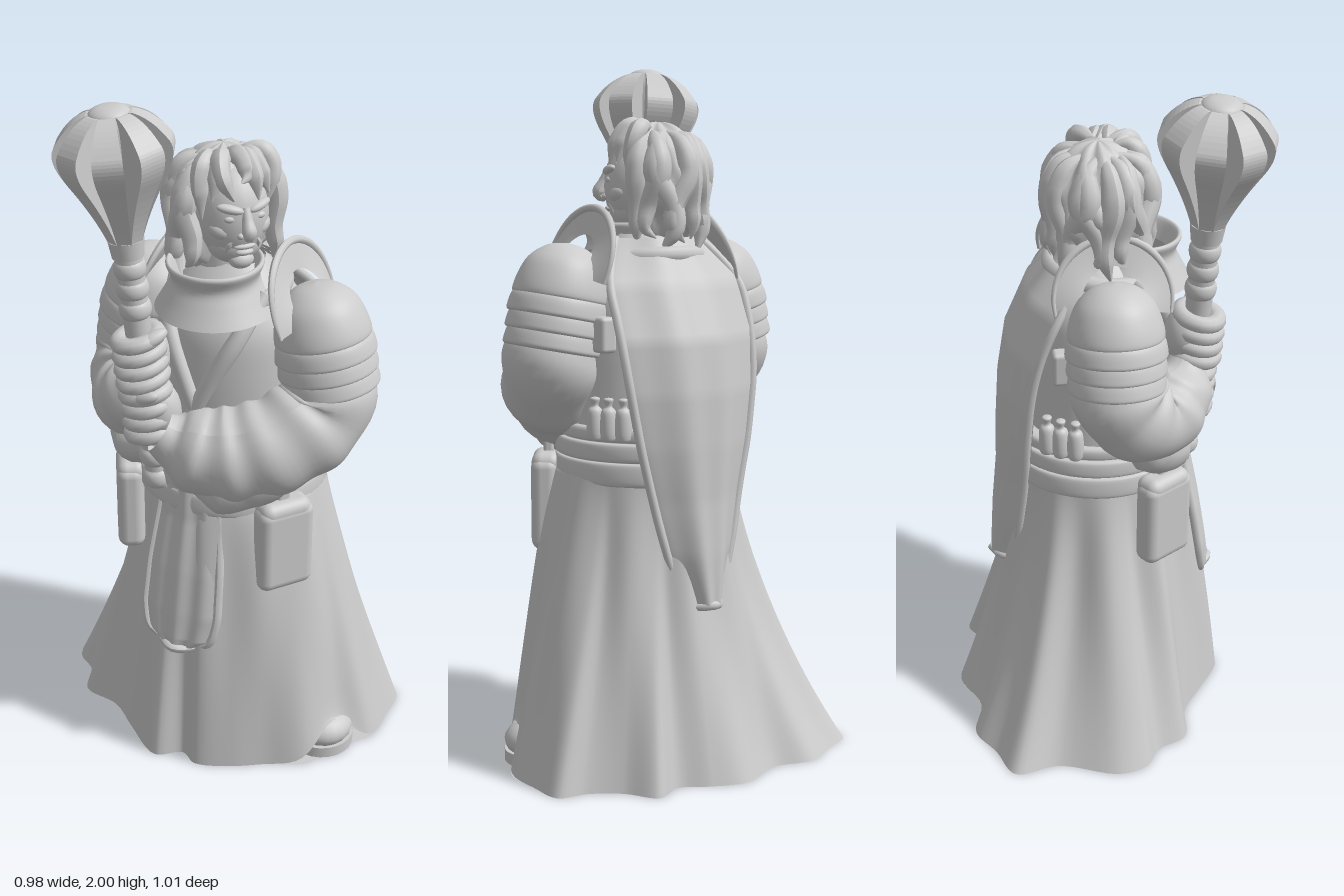
import * as THREE from 'three';
import { ParametricGeometry } from 'three/addons/geometries/ParametricGeometry.js';
import { RoundedBoxGeometry } from 'three/addons/geometries/RoundedBoxGeometry.js';

const grey = new THREE.MeshStandardMaterial({ color: 0xcccccc, side: THREE.DoubleSide });
const V = (x, y, z) => new THREE.Vector3(x, y, z);
const lerp = THREE.MathUtils.lerp;

function add(parent, name, geo, pos = [0, 0, 0], rot = [0, 0, 0], scale = [1, 1, 1]) {
  const mesh = new THREE.Mesh(geo, grey);
  mesh.name = name;
  mesh.position.set(...pos);
  mesh.rotation.set(...rot);
  mesh.scale.set(...scale);
  parent.add(mesh);
}

// Value of an evenly spaced list at u in 0..1
function sample(list, u) {
  const f = u * (list.length - 1), i = Math.min(Math.floor(f), list.length - 2);
  return lerp(list[i], list[i + 1], f - i);
}

// Tube whose radius follows a list, with optional ripples along its length
function taperTube(points, radii, n = 24, m = 14, ripple = 0, waves = 0) {
  const curve = new THREE.CatmullRomCurve3(points.map(p => V(...p)));
  const geo = new THREE.TubeGeometry(curve, n, 1, m);
  const pos = geo.attributes.position, p = V(0, 0, 0);
  for (let i = 0; i <= n; i++) {
    const c = curve.getPointAt(i / n);
    for (let j = 0; j <= m; j++) {
      const k = i * (m + 1) + j;
      const r = sample(radii, i / n) + ripple * Math.sin(i / n * waves * 6.283 + Math.sin(j / m * 6.283));
      p.fromBufferAttribute(pos, k).sub(c).multiplyScalar(r).add(c);
      pos.setXYZ(k, p.x, p.y, p.z);
    }
  }
  geo.computeVertexNormals();
  return geo;
}

const blob = (parent, name, pos, scale, rot) =>
  add(parent, name, new THREE.SphereGeometry(1, 20, 14), pos, rot, scale);
const lathe = pts => new THREE.LatheGeometry(new THREE.SplineCurve(pts.map(p => new THREE.Vector2(...p))).getPoints(pts.length * 4), 48);

function addSkirt(root) {
  const outline = [[.41, 0], [.485, .05], [.45, .15], [.45, .25], [.48, .33], [.4, .4], [.3, .47], [.2, .46], [.06, .49],
    [-.05, .44], [-.15, .4], [-.24, .34], [-.25, .28], [-.33, .25], [-.34, .1], [-.34, -.02], [-.39, -.13], [-.34, -.22],
    [-.34, -.3], [-.28, -.37], [-.1, -.42], [0, -.51], [.1, -.45], [.2, -.4], [.25, -.28], [.37, -.2], [.4, -.1]];
  const hem = new THREE.CatmullRomCurve3(outline.map(p => V(p[0], 0, p[1])), true);
  add(root, 'skirt', new ParametricGeometry((u, v, out) => {
    const foot = hem.getPoint(u % 1);
    const a = Math.atan2(foot.z - .1, foot.x - .04), s = Math.sin(a), c = Math.cos(a);
    const t = Math.pow(v, 1.17 - .5 * s + .3 * c);
    const r = .255 + .014 * Math.sin(a * 11) * Math.sin(v * Math.PI);
    // the hem arches over the boot
    const lift = foot.z > .3 ? .11 * Math.exp(-(((foot.x - .16) / .09) ** 2)) * v ** 8 : 0;
    out.set(lerp(.03 + r * c, foot.x, t), .87 * (1 - v) + lift, lerp(.09 + r * s, foot.z, t));
  }, 160, 30));
  const base = new THREE.Shape(hem.getPoints(120).map(p => new THREE.Vector2(p.x, p.z)));
  add(root, 'skirtUnderside', new THREE.ShapeGeometry(base).rotateX(Math.PI / 2));
  blob(root, 'bootToe', [.16, .062, .4], [.095, .06, .1]);
  add(root, 'bootSole', new THREE.CylinderGeometry(.1, .1, .035, 24), [.16, .018, .4]);
}

// Hanging cloth: rows of [y, half width, depth], its edges curling towards the body
function clothPanel(body, name, rows, curl, thick) {
  const col = k => rows.map(r => r[k]);
  const at = (x, v) => {
    const z = sample(col(2), v);
    return V(x * sample(col(1), v), sample(col(0), v), z - curl * x * x * Math.sign(z) + .004 * Math.cos(x * 9));
  };
  for (const off of [0, thick])
    add(body, name, new ParametricGeometry((u, v, out) => { out.copy(at(u * 2 - 1, v)); out.z += off; }, 28, 28));
  const border = [];
  for (let i = 0; i <= 12; i++) border.push(at(-1, i / 12).toArray());
  border.push(at(0, 1).toArray());
  for (let i = 12; i >= 0; i--) border.push(at(1, i / 12).toArray());
  add(body, name + 'Border', taperTube(border, [.013, .013], 90, 8));
}

function addTorso(body) {
  add(body, 'torso', lathe([[.255, .82], [.252, .95], [.245, 1.1], [.235, 1.25], [.215, 1.36], [.15, 1.46], [.09, 1.52]]), [0, 0, 0], [0, 0, 0], [1, 1, .88]);
  add(body, 'belt', lathe([[.24, .82], [.272, .825], [.28, .84], [.276, .885], [.264, .892], [.275, .9], [.272, .94],
    [.258, .947], [.266, .955], [.262, .985], [.22, .99]]));
  add(body, 'collar', lathe([[.17, 1.41], [.14, 1.46], [.122, 1.5], [.135, 1.54], [.122, 1.545], [.1, 1.49]]), [0, 0, .03], [.05, 0, 0]);
  add(body, 'collarRoll', new THREE.TorusGeometry(.148, .026, 10, 40), [0, 1.445, .015], [Math.PI / 2 + .12, 0, 0]);
  // crossed robe edges on the chest
  for (const s of [-1, 1])
    add(body, 'robeEdge', taperTube([[s * .14, 1.46, .08], [s * .11, 1.36, .165], [s * .03, 1.2, .21], [-s * .06, 1, .215]], [.02, .026, .022, .02]));

  clothPanel(body, 'cape', [[1.51, .14, -.11], [1.4, .22, -.2], [1.25, .225, -.265], [1.1, .21, -.29], [.95, .185, -.3],
    [.8, .15, -.305], [.65, .115, -.32], [.49, .065, -.33]], .075, .015);
  clothPanel(body, 'frontPanel', [[.93, .085, .275], [.8, .1, .285], [.65, .115, .315], [.5, .12, .34], [.43, .105, .35], [.4, .06, .352]], .03, -.015);

  for (const s of [-1, 1]) {
    // flat bag hung from the belt
    const bag = new THREE.Group();
    bag.name = 'beltBag';
    bag.position.set(s * .255, 0, .165);
    bag.rotation.y = s * .98;
    body.add(bag);
    add(bag, 'bagBody', new RoundedBoxGeometry(.17, .27, .08, 3, .03), [0, .74, 0]);
    add(bag, 'bagFlap', new RoundedBoxGeometry(.155, .1, .085, 3, .03), [0, .84, -.004]);
    add(bag, 'bagStrap', new RoundedBoxGeometry(.04, .12, .03, 2, .01), [0, .92, -.01]);
    // small bottles tucked in the belt
    for (let i = 0; i < 3; i++) {
      const a = 2.1 + (i - 1) * .17;
      add(body, 'beltBottle', lathe([[0, -.06], [.022, -.05], [.022, .02], [.01, .04], [.014, .06], [0, .065]]),
        [s * .262 * Math.sin(a), 1.01, .262 * Math.cos(a)]);
    }
    add(body, 'capeClasp', new RoundedBoxGeometry(.05, .1, .11, 2, .012), [s * .235, 1.25, -.1]);
  }
}

function addArms(body) {
  for (const s of [-1, 1]) {
    const side = s > 0 ? 'left' : 'right', reach = s > 0 ? .285 : -.255;
    // domed shoulder guard with three overlapping bands
    const guard = new THREE.Group();
    guard.name = side + 'ShoulderGuard';
    guard.position.set(reach, 1.36, .02);
    guard.rotation.z = s * .2;
    guard.scale.set(.94, 1, .94);
    body.add(guard);
    add(guard, 'dome', lathe([[.001, .14], [.06, .128], [.11, .09], [.135, .04], [.145, -.01], [.13, -.02]]));
    for (let i = 0; i < 3; i++)
      add(guard, 'band', lathe([[.128, .01], [.145, -.01], [.152, -.04], [.15, -.058], [.125, -.062]]), [0, -.01 - i * .047, 0], [0, 0, 0], [1 - i * .015, 1, 1 - i * .015]);
    // upright crescent plate beside the neck, bowed round the dome
    add(body, side + 'CrescentPlate', new ParametricGeometry((u, v, out) => {
      const a = lerp(-.25, Math.PI + .25, u), r = lerp(.09, .165, v);
      out.set(reach - s * (.03 + .055 * Math.sin(a) + .025 * v), 1.43 + r * Math.sin(a), .02 + r * Math.cos(a));
    }, 36, 6));
    const rim = [];
    for (let i = 0; i <= 12; i++) {
      const a = lerp(-.25, Math.PI + .25, i / 12);
      rim.push([reach - s * (.055 + .055 * Math.sin(a)), 1.43 + .165 * Math.sin(a), .02 + .165 * Math.cos(a)]);
    }
    add(body, side + 'PlateRim', taperTube(rim, [.005, .011, .011, .005], 48, 8));
  }
  // wide draped sleeves, both reaching to the weapon
  add(body, 'leftSleeve', taperTube([[.285, 1.3, .02], [.31, 1.15, .04], [.23, 1.06, .14], [.09, 1.02, .22], [-.03, 1.05, .27], [-.07, 1.08, .29]],
    [.11, .135, .14, .14, .14, .125, .06], 48, 28, .005, 6));
  add(body, 'leftSleeveDrape', taperTube([[.26, 1.05, .09], [.18, .98, .18], [.1, .94, .23], [.03, .94, .265], [0, .95, .28]], [.07, .1, .105, .09, .02], 28, 18, .004, 3));
  add(body, 'rightSleeve', taperTube([[-.255, 1.3, .02], [-.285, 1.15, .04], [-.26, 1.08, .13], [-.19, 1.13, .21], [-.15, 1.19, .25]],
    [.11, .135, .135, .12, .11, .06], 48, 28, .005, 5));
  add(body, 'rightSleeveDrape', taperTube([[-.27, 1.04, .07], [-.23, .97, .15], [-.18, .97, .21], [-.16, 1, .24]], [.04, .085, .08, .02], 24, 16));
}

function addMace(root) {
  const mace = new THREE.Group();
  mace.name = 'mace';
  mace.position.set(-.28, 1.3, .105);
  mace.rotation.set(-.04, 0, .09);
  root.add(mace);
  add(mace, 'shaft', new THREE.CylinderGeometry(.039, .034, .78, 20), [0, -.02, 0]);
  for (const y of [-.4, -.33, .13, .19, .25])
    add(mace, 'shaftRing', lathe([[.034, -.027], [.042, -.016], [.045, 0], [.042, .016], [.034, .027]]), [0, y, 0]);
  add(mace, 'shaftCollar', new THREE.CylinderGeometry(.05, .044, .05, 24), [0, .31, 0]);
  add(mace, 'headCore', lathe([[.04, .3], [.045, .4], [.06, .55], [.065, .64], [.058, .675], [.05, .69], [.03, .7], [.001, .703]]));
  // eight flanges, thicker towards the rim
  const blade = new THREE.Shape();
  blade.moveTo(.01, .33);
  blade.lineTo(.045, .33);
  blade.quadraticCurveTo(.07, .41, .135, .52);
  blade.quadraticCurveTo(.168, .58, .15, .61);
  blade.quadraticCurveTo(.11, .67, .06, .685);
  blade.lineTo(.01, .685);
  const geo = new THREE.ExtrudeGeometry(blade, { depth: 1, bevelEnabled: false, curveSegments: 8 }).translate(0, 0, -.5);
  const p = geo.attributes.position;
  for (let i = 0; i < p.count; i++) p.setZ(i, p.getZ(i) * (.02 + .38 * p.getX(i)));
  geo.computeVertexNormals();
  for (let i = 0; i < 8; i++) add(mace, 'flange', geo, [0, 0, 0], [0, (i + .35) * Math.PI / 4, 0]);
  // two gripping hands, right above left
  for (const [name, y, turn] of [['rightHand', -.02, 0], ['leftHand', -.19, -.9]]) {
    const hand = new THREE.Group();
    hand.name = name;
    hand.position.y = y;
    hand.rotation.y = turn;
    mace.add(hand);
    blob(hand, 'palm', [.03, 0, -.015], [.058, .085, .06]);
    for (let i = 0; i < 4; i++)
      add(hand, 'finger', new THREE.TorusGeometry(.048, .024, 10, 24), [-.004, .062 - i * .041, 0], [Math.PI / 2, .12, 0], [1.12, 1, 1]);
    blob(hand, 'thumb', [.02, .07, .05], [.045, .02, .022], [0, 0, .3]);
  }
}

function addHead(root) {
  const head = new THREE.Group();
  head.name = 'head';
  head.position.set(0, 1.65, .06);
  head.rotation.y = -.05;
  root.add(head);
  add(head, 'neck', new THREE.CylinderGeometry(.075, .09, .2, 24), [0, -.15, 0]);
  blob(head, 'face', [0, .005, .045], [.1, .135, .1]);
  blob(head, 'jaw', [0, -.065, .06], [.08, .065, .07]);
  blob(head, 'chin', [0, -.108, .105], [.036, .025, .028]);
  add(head, 'nose', taperTube([[0, .05, .13], [0, .015, .145], [0, -.02, .158], [0, -.034, .138]], [.012, .015, .021, .008], 16, 12));
  blob(head, 'upperLip', [0, -.06, .128], [.032, .009, .014]);
  blob(head, 'lowerLip', [0, -.078, .126], [.026, .01, .014]);
  for (const s of [-1, 1]) {
    blob(head, 'brow', [s * .042, .05, .126], [.038, .013, .016], [0, s * .35, s * .22]);
    blob(head, 'eye', [s * .04, .022, .124], [.02, .011, .013]);
    blob(head, 'cheek', [s * .052, -.018, .094], [.04, .028, .032], [0, s * .5, s * .3]);
    blob(head, 'nostril', [s * .017, -.026, .136], [.011, .01, .013]);
    add(head, 'smileFold', taperTube([[s * .024, -.028, .128], [s * .042, -.055, .117], [s * .046, -.085, .106]], [.004, .01, .004], 10, 8));
  }
  // wavy hair mass swept back from the face
  const hair = new THREE.SphereGeometry(1, 72, 48), p = hair.attributes.position, v = V(0, 0, 0);
  for (let i = 0; i < p.count; i++) {
    v.fromBufferAttribute(p, i);
    const a = Math.atan2(v.x, v.z), ring = Math.hypot(v.x, v.z);
    v.multiplyScalar(1 + .05 * ring * Math.sin(a * 9 + v.y * 6) + .05 * ring * Math.sin(a * 4 - v.y * 9));
    const open = Math.max(0, v.z) * (v.y < .62 ? 1 : .2);
    p.setXYZ(i, v.x * .145, v.y * .185, v.z * .135 * (1 - .45 * open) - .015);
  }
  hair.computeVertexNormals();
  add(head, 'hair', hair);
  // long curling locks around the sides and back
  for (let i = 0; i < 13; i++) {
    const turn = (a, r, y) => [Math.sin(a) * r, y, Math.cos(a) * r * .9 - .01];
    const a = 1.15 + i / 12 * 3.98, w = .16 * Math.sin(i * 2.4), end = -.16 - .025 * Math.sin(i * 4.1);
    add(head, 'longLock', taperTube([turn(a - w, .06, .155), turn(a + w, .115, .125), turn(a + w * 1.6, .143, .04),
      turn(a - w, .135, -.05), turn(a - w * 1.4, .145, -.11), turn(a + w, .14, end)], [.008, .026, .035, .034, .03, .024, .002], 24, 10));
  }
  // short swept locks over the forehead and temples
  for (let i = 0; i < 7; i++) {
    const a = (i - 3) * .36, x = Math.sin(a), z = Math.cos(a), drop = .085 + .035 * (i % 2) - .07 * Math.abs(a), w = .016 * Math.sin(i * 2.4);
    add(head, 'foreheadLock', taperTube([[x * .04 - w, .165, .01], [x * .08 + w, .17, z * .07], [x * .11 + w, .13, z * .11],
      [x * .112 - w, drop, z * .122 + .01]], [.01, .028, .024, .002], 18, 8));
  }
}

export function createModel() {
  const root = new THREE.Group();
  root.name = 'robedMaceBearer';
  // the upper body is turned towards its right
  const body = new THREE.Group();
  body.name = 'upperBody';
  body.position.set(.02, 0, .075);
  body.rotation.y = -.98;
  root.add(body);
  addSkirt(root);
  addTorso(body);
  addArms(body);
  addMace(root);
  addHead(root);
  return root;
}
